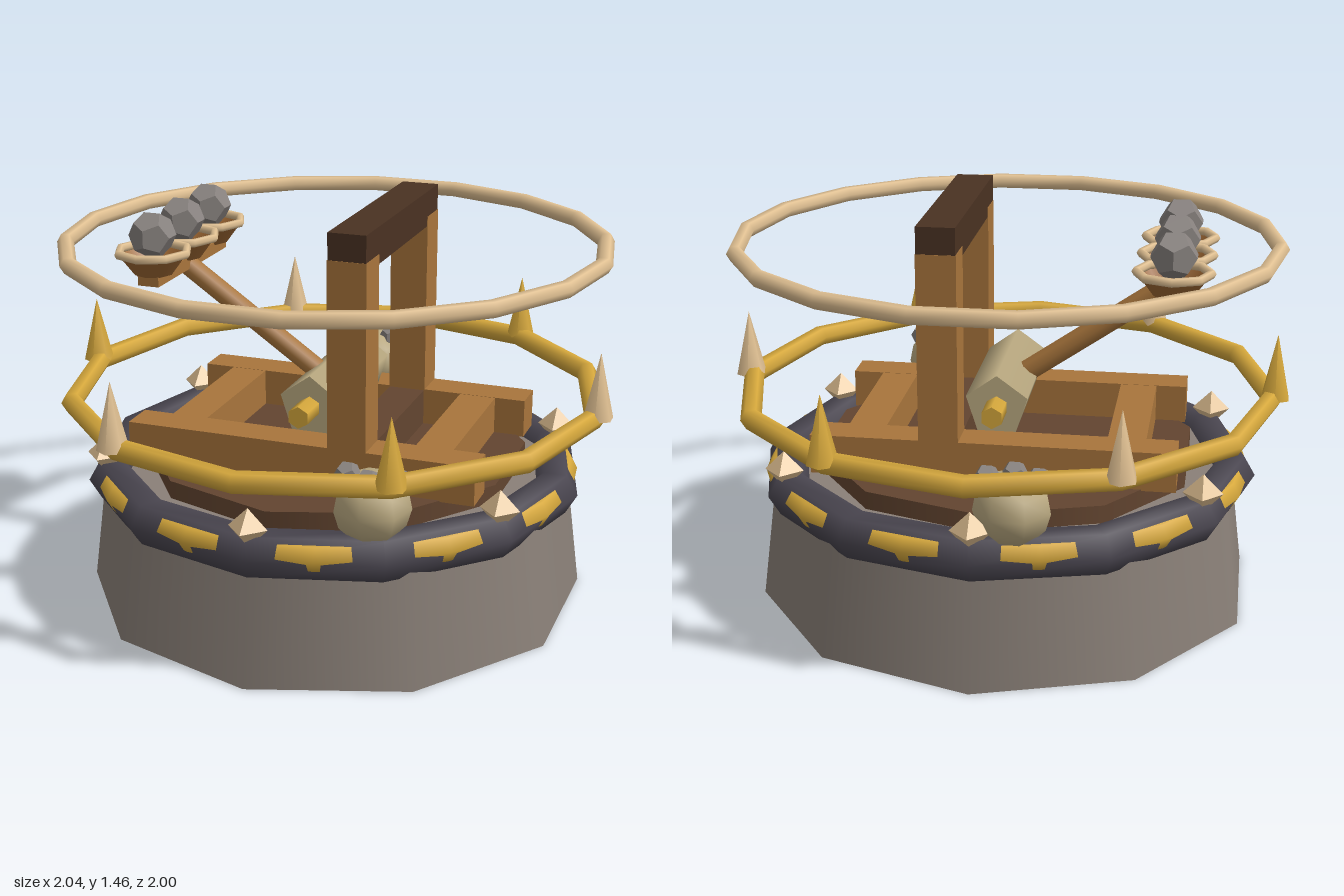
import * as THREE from 'three';

const mat = (color, extra = {}) => new THREE.MeshStandardMaterial({ color, ...extra });
const stone = mat(0x8a8078);
const iron = mat(0x4a4650);
const gold = mat(0xd6a83c);
const bone = mat(0xe0c092);
const boneFlat = mat(0xe0c092, { flatShading: true });
const wood = mat(0xa8753c);
const cupWood = mat(0x9c6632, { side: THREE.DoubleSide });
const darkWood = mat(0x634530);
const beamWood = mat(0x4a3222);
const cloth = mat(0xbcab82, { side: THREE.DoubleSide });
const rock = mat(0x88827f, { flatShading: true });

export function createModel() {
  const model = new THREE.Group();

  const add = (name, geometry, material, x = 0, y = 0, z = 0, parent = model) => {
    const mesh = new THREE.Mesh(geometry, material);
    mesh.name = name;
    mesh.position.set(x, y, z);
    parent.add(mesh);
    return mesh;
  };
  // box given by its limits on each axis
  const box = (name, material, x0, x1, y0, y1, z0, z1) =>
    add(name, new THREE.BoxGeometry(x1 - x0, y1 - y0, z1 - z0), material,
      (x0 + x1) / 2, (y0 + y1) / 2, (z0 + z1) / 2);
  // horizontal ring
  const ring = (name, material, radius, tube, sides, segments, x, y, z) =>
    add(name, new THREE.TorusGeometry(radius, tube, sides, segments).rotateX(Math.PI / 2), material, x, y, z);

  // Tapered stone base with wooden floor
  add('stoneBase', new THREE.CylinderGeometry(0.855, 0.92, 0.49, 10), stone, 0, 0.245, 0);
  add('floor', new THREE.CylinderGeometry(0.7, 0.7, 0.11, 10), darkWood, 0, 0.5, 0);

  // Dark collar with a gold band showing through its long edges
  ring('collar', iron, 0.83, 0.083, 6, 12, 0, 0.463, 0);
  ring('collarInlay', gold, 0.842, 0.05, 6, 24, 0, 0.475, 0);

  // Studs on the collar
  for (let i = 0; i < 6; i++) {
    const a = (i * Math.PI) / 3;
    add('collarStud', new THREE.OctahedronGeometry(0.07), boneFlat,
      0.85 * Math.sin(a), 0.56, 0.85 * Math.cos(a));
  }

  // Floating rings, the lower one with spikes
  ring('goldRing', gold, 0.96, 0.038, 6, 12, 0, 0.765, 0);
  ring('upperRing', bone, 0.963, 0.03, 6, 18, 0, 1.315, 0);
  for (let i = 0; i < 6; i++) {
    const a = (i * Math.PI) / 3;
    add('ringSpike', new THREE.ConeGeometry(0.056, 0.24, 6), i % 2 ? gold : bone,
      0.97 * Math.cos(a), 0.885, 0.97 * Math.sin(a));
  }

  // Timber frame: side rails and cross beams
  for (const s of [-1, 1]) {
    const z0 = s > 0 ? 0.28 : -0.413;
    box('sideRail', wood, -0.643, 0.643, 0.55, 0.692, z0, z0 + 0.133);
    const x0 = s > 0 ? 0.395 : -0.53;
    box('crossBeam', wood, x0, x0 + 0.135, 0.55, 0.691, -0.28, 0.28);
    box('gatePost', wood, 0.115, 0.255, 0.56, 1.36, z0, z0 + 0.133);
  }
  box('gateSill', darkWood, 0.118, 0.252, 0.55, 0.688, -0.28, 0.28);
  box('gateBeam', beamWood, 0.117, 0.253, 1.325, 1.455, -0.411, 0.411);

  // Winding roller on its axle
  add('roller', new THREE.CylinderGeometry(0.115, 0.115, 0.55, 5).rotateX(-Math.PI / 2), cloth, 0, 0.78, 0);
  add('axle', new THREE.CylinderGeometry(0.04, 0.04, 0.78, 6).rotateX(-Math.PI / 2), gold, 0, 0.78, 0);

  // Throwing arm
  const foot = new THREE.Vector3(-0.05, 0.81, 0);
  const tip = new THREE.Vector3(-0.61, 1.195, 0);
  const along = tip.clone().sub(foot);
  const arm = add('throwingArm', new THREE.CylinderGeometry(0.04, 0.04, along.length(), 8), wood);
  arm.position.copy(foot).add(tip).multiplyScalar(0.5);
  arm.quaternion.setFromUnitVectors(new THREE.Vector3(0, 1, 0), along.normalize());
  box('armHead', wood, -0.64, -0.56, 1.17, 1.215, -0.3, 0.3);

  // Cups with rims and loaded stones
  for (const z of [-0.245, 0, 0.245]) {
    add('cup', new THREE.CylinderGeometry(0.13, 0.07, 0.08, 8, 1, true), cupWood, -0.603, 1.245, z);
    add('cupBottom', new THREE.CylinderGeometry(0.076, 0.07, 0.012, 8), cupWood, -0.603, 1.211, z);
    ring('cupRim', bone, 0.128, 0.016, 6, 8, -0.603, 1.285, z);
    add('loadedStone', new THREE.DodecahedronGeometry(0.085), rock, -0.603, 1.345, z);
  }

  // Sacks of spare stones
  const profile = [[0, 0.505], [0.065, 0.51], [0.115, 0.56], [0.133, 0.62], [0.12, 0.685], [0.085, 0.725], [0, 0.735]]
    .map(([r, y]) => new THREE.Vector2(r, y));
  for (const [x, z] of [[0.37, 0.683], [-0.13, -0.782]]) {
    const sack = new THREE.Group();
    sack.name = 'stoneSack';
    sack.position.set(x, 0, z);
    model.add(sack);
    add('sack', new THREE.LatheGeometry(profile, 7), cloth, 0, 0, 0, sack);
    for (const [dx, dz] of [[-0.085, 0], [0, 0.043], [0.085, 0]])
      add('spareStone', new THREE.DodecahedronGeometry(0.045), rock, dx, 0.725, dz, sack);
  }

  return model;
}
